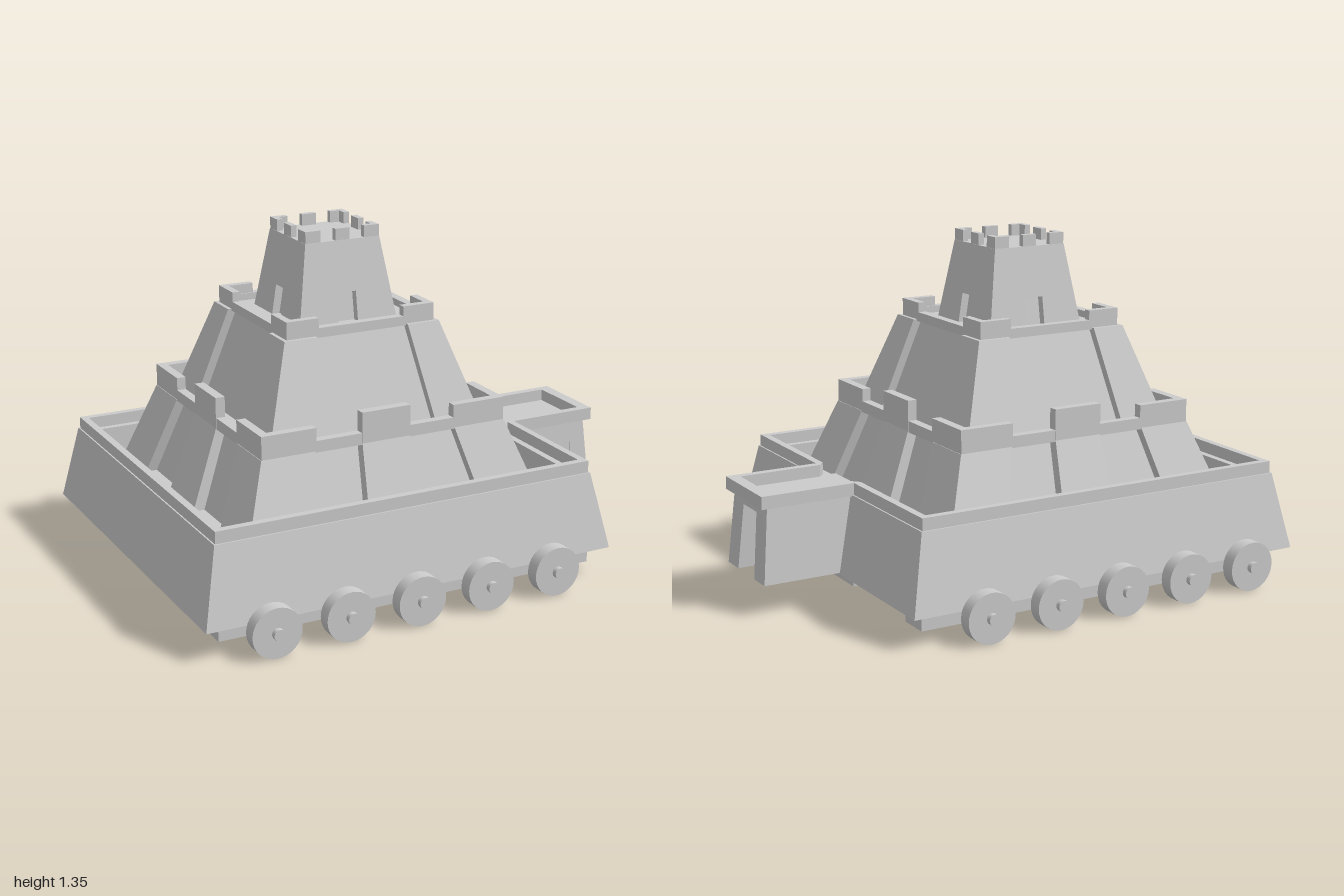
import * as THREE from 'three';

const material = new THREE.MeshStandardMaterial({ color: 0xcccccc, flatShading: true });
const smooth = new THREE.MeshStandardMaterial({ color: 0xcccccc });

function add(parent, name, geometry, mat = material) {
  const mesh = new THREE.Mesh(geometry, mat);
  mesh.name = name;
  parent.add(mesh);
  return mesh;
}

// Closed solid through rectangular sections [x0, x1, z0, z1, y]
function loft(sections) {
  const rings = sections.map(([x0, x1, z0, z1, y]) =>
    [[x0, y, z1], [x1, y, z1], [x1, y, z0], [x0, y, z0]]);
  const pos = [];
  const quad = (a, b, c, d) => pos.push(...a, ...b, ...c, ...a, ...c, ...d);
  for (let i = 0; i < rings.length - 1; i++) {
    for (let j = 0; j < 4; j++) {
      const k = (j + 1) % 4;
      quad(rings[i][j], rings[i][k], rings[i + 1][k], rings[i + 1][j]);
    }
  }
  const top = rings[rings.length - 1];
  quad(...top);
  quad(...[...rings[0]].reverse());
  const geometry = new THREE.BufferGeometry();
  geometry.setAttribute('position', new THREE.Float32BufferAttribute(pos, 3));
  geometry.computeVertexNormals();
  return geometry;
}

// Centred stack of rectangles [halfX, halfZ, y]
const stack = (...levels) => loft(levels.map(([hx, hz, y]) => [-hx, hx, -hz, hz, y]));
// Centred stack of squares [half, y]
const square = (...levels) => stack(...levels.map(([h, y]) => [h, h, y]));

// Run a builder once for each of the four sides, with +z as the outside
function fourSides(parent, name, build) {
  for (let i = 0; i < 4; i++) {
    const side = new THREE.Group();
    side.name = name;
    side.rotation.y = i * Math.PI / 2;
    parent.add(side);
    build(side);
  }
}

// Upright block on a side: x range, y range, outer face and thickness
const block = (x0, x1, y0, y1, out, t) =>
  loft([[x0, x1, out - t, out, y0], [x0, x1, out - t, out, y1]]);

// Sloping corner pier: [outer half, inner edge, y] at bottom and top
const pier = (...levels) => loft(levels.map(([h, e, y]) => [e, h, e, h, y]));

function buildBase(castle) {
  // Sloping hull, firing step and sunken walkway
  add(castle, 'hull', stack(
    [0.845, 0.765, 0.12], [0.783, 0.708, 0.42],
    [0.72, 0.645, 0.42], [0.72, 0.645, 0.31]));

  // Rim that runs on around the gatehouse deck
  const rim = new THREE.Shape([
    [-0.777, -0.702], [0.777, -0.702], [0.777, -0.167], [1.155, -0.167],
    [1.155, 0.167], [0.777, 0.167], [0.777, 0.702], [-0.777, 0.702],
  ].map(p => new THREE.Vector2(...p)));
  rim.holes.push(new THREE.Path([
    [-0.748, -0.672], [-0.748, 0.672], [0.748, 0.672], [0.748, 0.165], [0.775, 0.135],
    [1.108, 0.135], [1.108, -0.135], [0.775, -0.135], [0.748, -0.165], [0.748, -0.672],
  ].map(p => new THREE.Vector2(...p))));
  const rimGeometry = new THREE.ExtrudeGeometry(rim, { depth: 0.05, bevelEnabled: false });
  rimGeometry.rotateX(-Math.PI / 2).translate(0, 0.417, 0);
  add(castle, 'hullRim', rimGeometry);

  // Gatehouse: solid rear, two jambs and a lintel around the doorway
  const gate = new THREE.Group();
  gate.name = 'gatehouse';
  castle.add(gate);
  add(gate, 'gateBody', loft([[0.7, 1.07, -0.17, 0.17, 0.125], [0.7, 1.07, -0.15, 0.15, 0.42]]));
  for (const s of [-1, 1]) {
    const z = (a, b) => (s > 0 ? [a, b] : [-b, -a]);
    add(gate, 'gateJamb', loft([
      [1.06, 1.153, ...z(0.075, 0.17), 0.125], [1.06, 1.13, ...z(0.06, 0.153), 0.38]]));
  }
  add(gate, 'gateLintel', loft([
    [1.06, 1.13, -0.153, 0.153, 0.38], [1.06, 1.126, -0.15, 0.15, 0.42]]));

  // Runners under the hull
  add(castle, 'centreRunner', loft([[-0.775, 0.785, -0.165, 0.165, 0.06], [-0.775, 0.785, -0.165, 0.165, 0.13]]));
  for (const s of [-1, 1]) {
    const c = s * 0.645;
    add(castle, 'sideRunner', loft([
      [-0.775, 0.785, c - 0.06, c + 0.06, 0.05], [-0.775, 0.785, c - 0.06, c + 0.06, 0.13]]));
  }
}

function buildWheels(castle) {
  for (const s of [-1, 1]) {
    for (let i = 0; i < 5; i++) {
      const wheel = new THREE.Group();
      wheel.name = 'wheel';
      wheel.position.set(-0.602 + i * 0.292, 0.097, 0);
      castle.add(wheel);
      const disc = new THREE.CylinderGeometry(0.097, 0.097, 0.055, 32).rotateX(Math.PI / 2);
      add(wheel, 'wheelDisc', disc, smooth).position.z = s * 0.802;
      const axle = new THREE.CylinderGeometry(0.022, 0.022, 0.16, 16).rotateX(Math.PI / 2);
      add(wheel, 'axle', axle, smooth).position.z = s * 0.77;
    }
  }
}

function buildMiddleTier(castle) {
  add(castle, 'middleCore', square([0.575, 0.31], [0.468, 0.62]));
  add(castle, 'middleParapet', square([0.508, 0.615], [0.508, 0.66], [0.472, 0.66], [0.472, 0.625]));
  fourSides(castle, 'middleSide', side => {
    add(side, 'cornerPier', pier([0.62, 0.37, 0.31], [0.51, 0.293, 0.62]));
    add(side, 'middlePier', loft([
      [-0.122, 0.122, 0.45, 0.62, 0.31], [-0.1, 0.1, 0.45, 0.51, 0.62]]));
    add(side, 'cornerMerlon', block(-0.508, -0.288, 0.62, 0.71, 0.508, 0.036));
    add(side, 'cornerMerlon', block(0.288, 0.508, 0.62, 0.71, 0.508, 0.036));
    add(side, 'middleMerlon', block(-0.101, 0.101, 0.62, 0.74, 0.51, 0.038));
  });
}

function buildUpperTier(castle) {
  add(castle, 'upperCore', square([0.412, 0.62], [0.29, 0.99]));
  add(castle, 'upperParapet', square([0.31, 0.985], [0.31, 1.022], [0.275, 1.022], [0.275, 0.995]));
  fourSides(castle, 'upperSide', side => {
    add(side, 'cornerPier', pier([0.448, 0.25, 0.62], [0.325, 0.19, 0.992]));
    add(side, 'cornerMerlon', block(-0.31, -0.178, 0.99, 1.06, 0.31, 0.03));
    add(side, 'cornerMerlon', block(0.178, 0.31, 0.99, 1.06, 0.31, 0.03));
  });
}

function buildTower(castle) {
  // Inset core with four piers leaves a doorway on every side
  add(castle, 'towerCore', square([0.175, 0.99], [0.155, 1.11]));
  add(castle, 'towerTop', square([0.187, 1.11], [0.156, 1.305]));
  fourSides(castle, 'towerSide', side => {
    add(side, 'doorPier', pier([0.206, 0.04, 0.99], [0.187, 0.04, 1.11]));
    for (const [a, b] of [[-0.155, -0.092], [-0.03, 0.03], [0.092, 0.155]]) {
      add(side, 'battlement', block(a, b, 1.3, 1.35, 0.155, 0.024));
    }
  });
}

export function createModel() {
  const model = new THREE.Group();
  model.name = 'wheeledFortress';
  const castle = new THREE.Group();
  castle.name = 'fortress';
  castle.position.x = -0.155;
  model.add(castle);
  buildBase(castle);
  buildWheels(castle);
  buildMiddleTier(castle);
  buildUpperTier(castle);
  buildTower(castle);
  return model;
}
